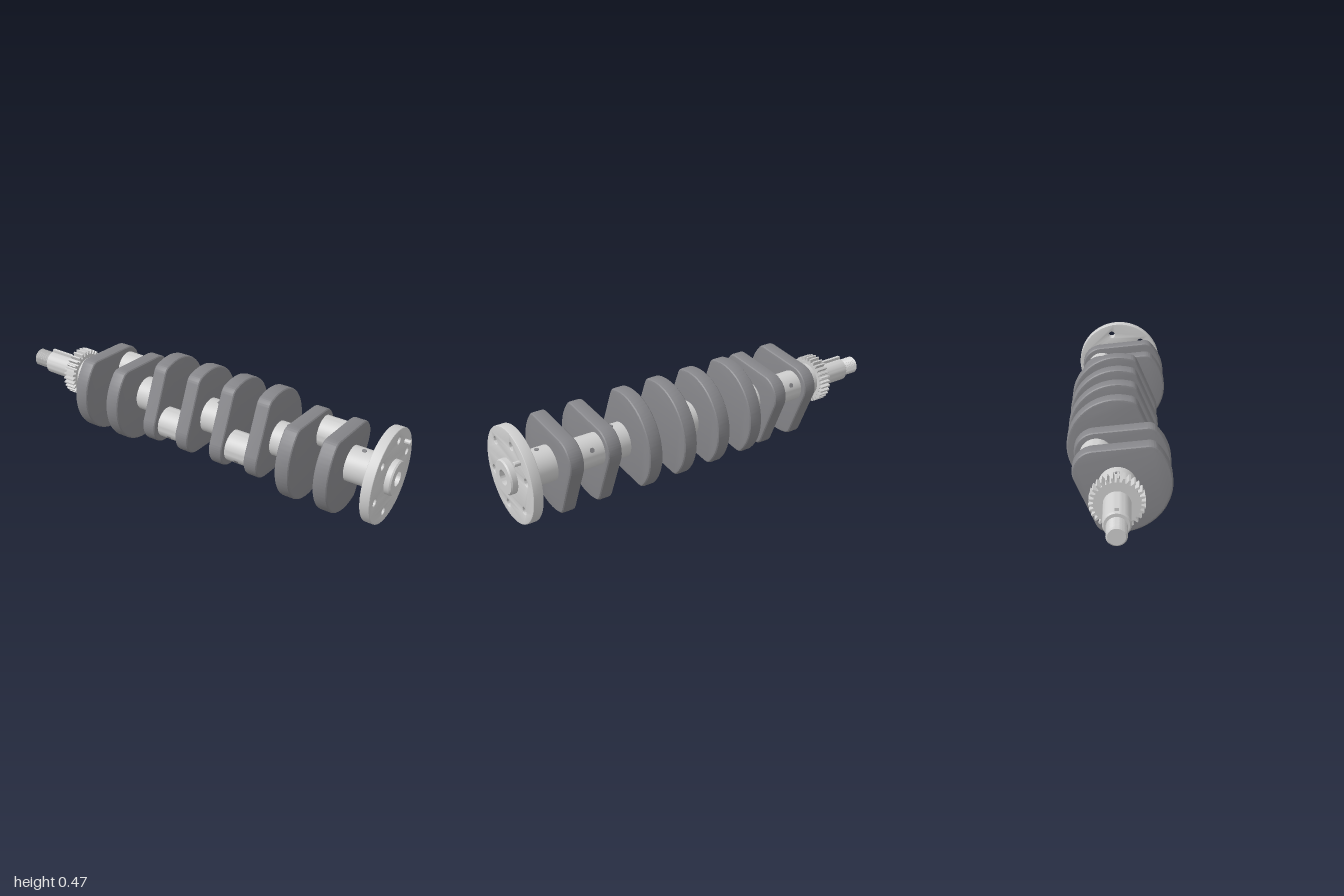
import * as THREE from 'three';
import { toCreasedNormals } from 'three/addons/utils/BufferGeometryUtils.js';

const AXIS = 0.236;      // height of the shaft axis
const THROW = 0.107;     // crank pin offset
const MAIN_R = 0.082, PIN_R = 0.073;

export function createModel() {
  const steel = new THREE.MeshStandardMaterial({ color: 0xcfcfcf });
  steel.name = 'machined steel';
  const iron = new THREE.MeshStandardMaterial({ color: 0x86868a });
  iron.name = 'dark cast iron';

  const root = new THREE.Group();
  root.name = 'crankshaft';
  const shaft = new THREE.Group();
  shaft.position.y = AXIS;
  root.add(shaft);

  const add = (name, geo, mat, x = 0, y = 0, z = 0) => {
    const m = new THREE.Mesh(geo, mat);
    m.name = name;
    m.position.set(x, y, z);
    shaft.add(m);
    return m;
  };
  // Turned part along x from [x, radius] pairs
  const turned = (pts) => toCreasedNormals(
    new THREE.LatheGeometry(pts.map(([x, r]) => new THREE.Vector2(r, x)), 48).rotateZ(-Math.PI / 2), 0.5);
  // Plate cut from a shape, thickness along x, centred
  const plate = (shape, thick, bevel, spin = 0) => {
    const g = new THREE.ExtrudeGeometry(shape, {
      depth: thick - 2 * bevel, bevelEnabled: bevel > 0, bevelThickness: bevel,
      bevelSize: bevel, bevelOffset: -bevel, bevelSegments: 3, curveSegments: 40,
    });
    g.translate(0, 0, bevel - thick / 2).rotateZ(spin).rotateY(Math.PI / 2);
    return toCreasedNormals(g, 0.5);
  };

  // Small oil hole mouth on a journal, facing direction (y, z)
  const oilHole = (x, cy, cz, r, dy, dz) => {
    const hole = add('oilHole', new THREE.CylinderGeometry(0.011, 0.011, 0.006, 16), iron,
      x, cy + dy * (r - 0.001), cz + dz * (r - 0.001));
    hole.quaternion.setFromUnitVectors(new THREE.Vector3(0, 1, 0), new THREE.Vector3(0, dy, dz));
  };

  // Counterweighted web: pin end points up, weight hangs down
  const webShape = () => {
    const R = 0.235, tipR = 0.1, a = 17 * Math.PI / 180, c = 10.5 * Math.PI / 180;
    const kx = 0.24 * Math.cos(c), ky = -0.24 * Math.sin(c);
    const dx = kx, dy = ky - THROW;
    const t = Math.atan2(dy, dx) + Math.acos(tipR / Math.hypot(dx, dy));
    const tx = tipR * Math.cos(t), ty = THROW + tipR * Math.sin(t);
    const sx = kx + (tx - kx) * 0.12, sy = ky + (ty - ky) * 0.12;
    const s = new THREE.Shape();
    s.moveTo(sx, sy);
    s.lineTo(tx, ty);
    s.absarc(0, THROW, tipR, t, Math.PI - t, false);
    s.lineTo(-sx, sy);
    s.quadraticCurveTo(-kx, ky, -R * Math.cos(a), -R * Math.sin(a));
    s.absarc(0, 0, R, Math.PI + a, 2 * Math.PI - a, false);
    s.quadraticCurveTo(kx, ky, sx, sy);
    return s;
  };

  // Four throws: outer pair and inner pair are opposite each other
  const throws = [[-0.443, 1], [-0.076, -1], [0.292, -1], [0.656, 1]];
  for (const [x, side] of throws) {
    const spin = side > 0 ? -Math.PI / 3 : Math.PI * 2 / 3;
    const dy = 0.5 * side, dz = -Math.sqrt(3) / 2 * side;
    for (const off of [-0.092, 0.092]) add('web', plate(webShape(), 0.07, 0.012, spin), iron, x + off);
    add('crankPin', turned([[-0.062, PIN_R], [0.062, PIN_R]]), steel, x, dy * THROW, dz * THROW);
    oilHole(x, dy * THROW, dz * THROW, PIN_R, dy, dz);
  }

  // Main journals
  for (const [x0, x1] of [[-0.69, -0.56], [-0.325, -0.195], [0.045, 0.17], [0.41, 0.54], [0.775, 0.9]]) {
    add('mainJournal', turned([[x0, 0], [x0, MAIN_R], [x1, MAIN_R], [x1, 0]]), steel);
  }
  for (const x of [-0.625, -0.259, 0.107, 0.473, 0.838]) oilHole(x, 0, 0, MAIN_R, 1, 0);

  // Nose with threaded end
  const nose = [[-1, 0], [-1, 0.036]];
  for (let i = 0; i < 7; i++) nose.push([-0.994 + i * 0.012, 0.043], [-0.988 + i * 0.012, 0.037]);
  nose.push([-0.912, 0.037], [-0.912, 0.052], [-0.906, 0.058], [-0.735, 0.058]);
  add('nose', turned(nose), steel);
  add('key', new THREE.BoxGeometry(0.12, 0.03, 0.016), steel, -0.842, 0.056, 0);

  // Timing gear
  const teeth = 30, gear = new THREE.Shape();
  for (let i = 0; i < teeth; i++) {
    [[0, 0.098], [0.36, 0.098], [0.52, 0.117], [0.84, 0.117]].forEach(([f, r], j) => {
      const a = (i + f) / teeth * Math.PI * 2;
      gear[i + j ? 'lineTo' : 'moveTo'](r * Math.cos(a), r * Math.sin(a));
    });
  }
  gear.closePath();
  add('timingGear', plate(gear, 0.057, 0), steel, -0.712);

  // Flywheel flange with six bolt holes
  const flange = new THREE.Shape();
  flange.absarc(0, 0, 0.219, 0, Math.PI * 2, false);
  for (let i = 0; i < 6; i++) {
    const a = (45.5 + i * 60) * Math.PI / 180;
    const h = new THREE.Path();
    h.absarc(-0.164 * Math.cos(a), 0.164 * Math.sin(a), 0.017, 0, Math.PI * 2, true);
    flange.holes.push(h);
  }
  add('flange', plate(flange, 0.046, 0.004), steel, 0.947);
  add('flangeCollar', turned([[0.892, 0], [0.892, 0.095], [0.93, 0.095]]), steel);
  add('pilotHub', turned([[0.96, 0.08], [0.993, 0.08], [1, 0.075], [1, 0.035], [0.95, 0.035], [0.95, 0]]), steel);
  add('dowel', turned([[0.96, 0.011], [0.996, 0.011], [0.998, 0.009], [0.998, 0]]), steel, 0, 0.116, -0.117);

  return root;
}
